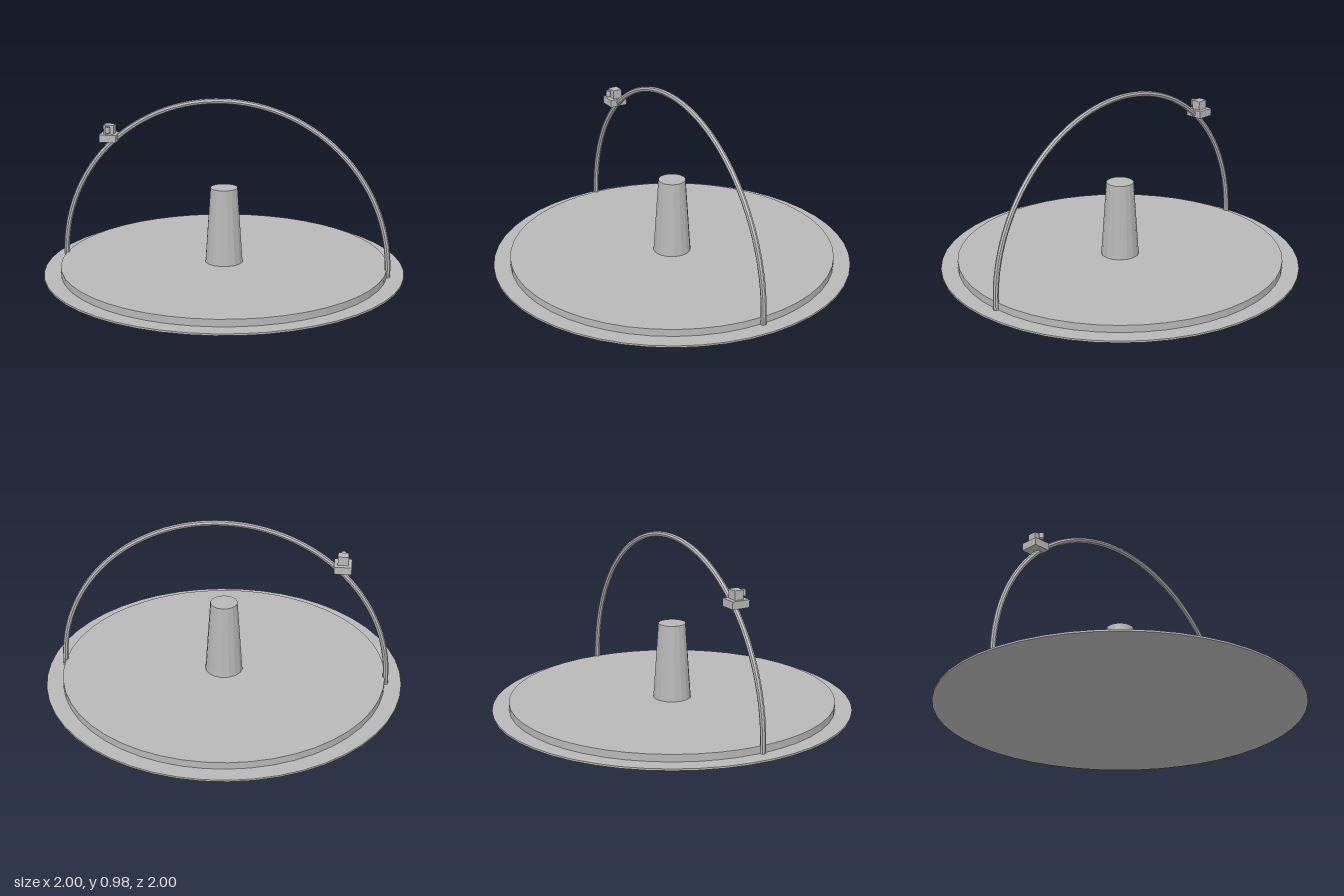
import * as THREE from 'three';

export function createModel() {
  const group = new THREE.Group();
  const grey = new THREE.MeshStandardMaterial({ color: 0xb8b8b8 });
  grey.name = 'plain grey';
  grey.flatShading = true;

  const add = (name, geometry, x, y, z) => {
    const mesh = new THREE.Mesh(geometry, grey);
    mesh.name = name;
    mesh.position.set(x, y, z);
    group.add(mesh);
    return mesh;
  };
  // Upright round part standing on height y
  const round = (name, top, bottom, height, sides, x, y, z) =>
    add(name, new THREE.CylinderGeometry(top, bottom, height, sides), x, y + height / 2, z);

  // Stepped round base and central tapered pillar
  round('groundDisc', 1, 1, 0.01, 48, 0, 0, 0);
  round('platform', 0.907, 0.907, 0.04, 48, 0, 0.01, 0);
  round('pillar', 0.076, 0.105, 0.425, 16, 0, 0.05, 0);

  // Arch: semicircle on short straight feet beside the platform
  const radius = 0.91, springY = 0.05;
  const path = new THREE.CurvePath();
  path.add(new THREE.LineCurve3(
    new THREE.Vector3(radius, 0.005, 0), new THREE.Vector3(radius, springY, 0)));
  const points = [];
  for (let i = 0; i <= 48; i++) {
    const a = (i / 48) * Math.PI;
    points.push(new THREE.Vector3(Math.cos(a) * radius, springY + Math.sin(a) * radius, 0));
  }
  path.add(new THREE.CatmullRomCurve3(points));
  path.add(new THREE.LineCurve3(
    new THREE.Vector3(-radius, springY, 0), new THREE.Vector3(-radius, 0.005, 0)));
  add('arch', new THREE.TubeGeometry(path, 64, 0.0155, 8, false), 0, 0, 0);

  // Small carriage riding on the arch
  const cx = -0.644;
  add('carriageBase', new THREE.BoxGeometry(0.095, 0.042, 0.102), cx, 0.734, 0);
  add('carriageBlock', new THREE.BoxGeometry(0.058, 0.05, 0.052), cx, 0.78, -0.001);
  round('carriageKnob', 0.014, 0.014, 0.032, 12, cx, 0.767, 0.043);

  return group;
}
